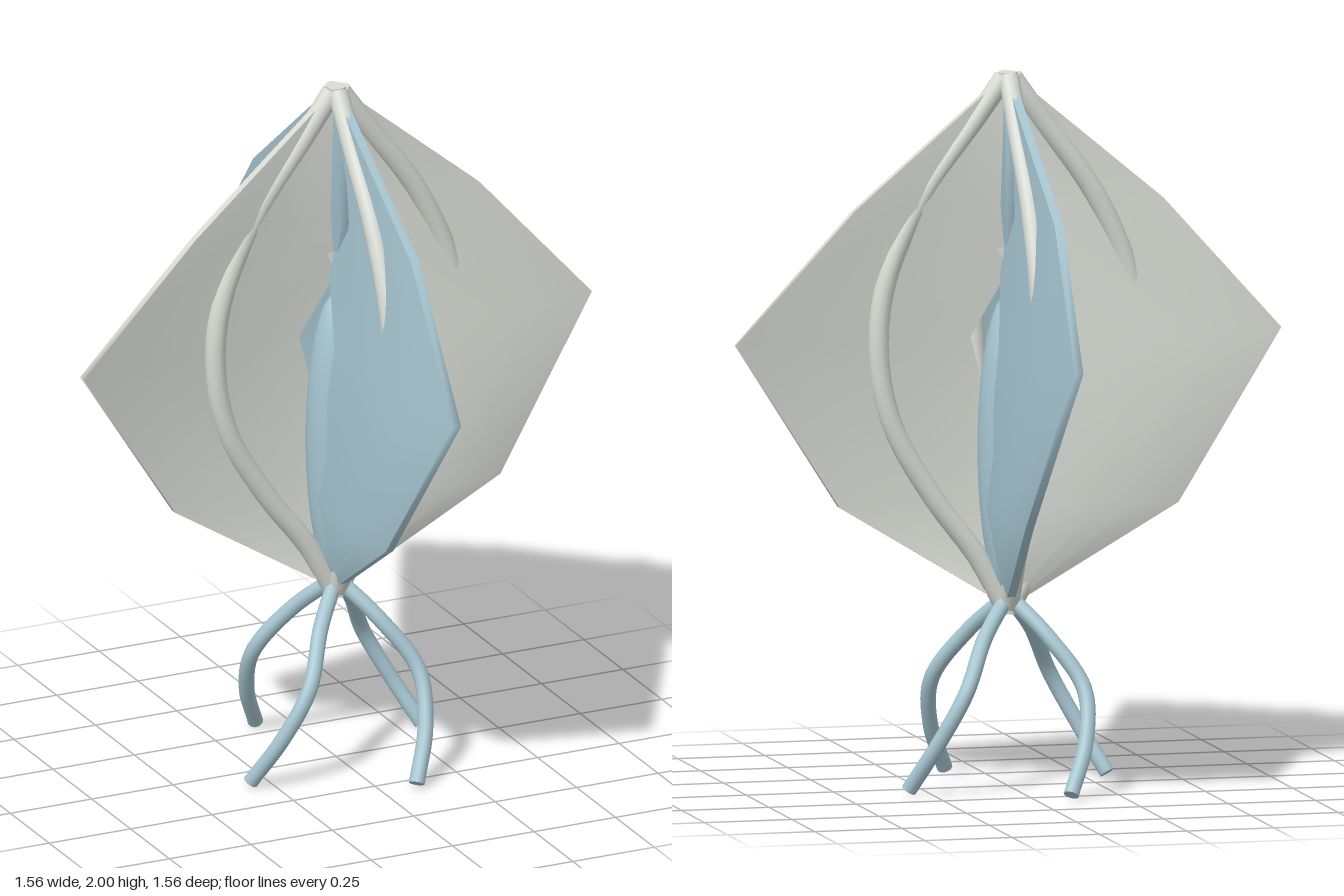
import * as THREE from 'three';

const V = (p) => new THREE.Vector3(...p);

// Thin twisted sail: a subdivided box whose rows follow a kite outline.
// Rows run bottom to top: [height, inner radius, outer radius, inner, middle and outer sideways shift]
const ROWS = [
  [0.515, -0.01, 0.02, 0, 0, 0],
  [0.79, -0.02, 0.47, 0.05, 0.078, 0.06],
  [1.26, 0.1, 0.78, 0.04, 0.035, 0],
  [1.63, -0.1, 0.45, -0.02, -0.012, -0.028],
  [1.99, -0.01, 0.015, 0, 0, 0],
];

function sailGeometry() {
  const g = new THREE.BoxGeometry(1, 1, 0.024, 4, 4, 1);
  const pos = g.attributes.position;
  for (let i = 0; i < pos.count; i++) {
    const u = pos.getX(i) + 0.5;
    const [y, inner, outer, a, m, b] = ROWS[Math.round((pos.getY(i) + 0.5) * 4)];
    // quadratic bend through the three sideways shifts
    const shift = a * (1 - u) * (1 - 2 * u) + m * 4 * u * (1 - u) + b * u * (2 * u - 1);
    pos.setXYZ(i, inner + (outer - inner) * u, y, pos.getZ(i) + shift);
  }
  g.computeVertexNormals();
  return g;
}

// Tube with closed ends
function rod(points, radius, material, name) {
  const group = new THREE.Group();
  group.name = name;
  const curve = new THREE.CatmullRomCurve3(points.map(V));
  const tube = new THREE.Mesh(new THREE.TubeGeometry(curve, 32, radius, 12), material);
  tube.name = name + 'Tube';
  group.add(tube);
  for (const t of [0, 1]) {
    const cap = new THREE.Mesh(new THREE.CircleGeometry(radius, 12), material);
    cap.name = name + 'End';
    cap.position.copy(curve.getPoint(t));
    const dir = curve.getTangent(t).multiplyScalar(t ? 1 : -1);
    cap.quaternion.setFromUnitVectors(new THREE.Vector3(0, 0, 1), dir);
    group.add(cap);
  }
  return group;
}

export function createModel() {
  const model = new THREE.Group();
  model.name = 'budLantern';
  const pale = new THREE.MeshStandardMaterial({ color: 0xd9dcd5 });
  pale.name = 'paleGrey';
  const blue = new THREE.MeshStandardMaterial({ color: 0xa6c5d0 });
  blue.name = 'softBlue';

  const sailShape = sailGeometry();
  for (let i = 0; i < 4; i++) {
    const quarter = new THREE.Group();
    quarter.name = 'quarter' + (i + 1);
    quarter.rotation.y = (i * Math.PI) / 2;

    // sails alternate in colour
    const sail = new THREE.Mesh(sailShape, i % 2 ? blue : pale);
    sail.name = 'sail';
    quarter.add(sail);

    // curved rib along the sail
    quarter.add(rod([
      [0.012, 1.985, 0], [0.1, 1.86, 0], [0.25, 1.65, 0], [0.35, 1.42, 0],
      [0.37, 1.22, 0], [0.33, 1.02, 0], [0.21, 0.81, 0], [0.09, 0.65, 0], [0.012, 0.51, 0],
    ], 0.029, pale, 'rib'));

    // curling root
    quarter.add(rod([
      [0.005, 0.53, -0.005], [0.09, 0.43, -0.09], [0.165, 0.29, -0.175],
      [0.24, 0.15, -0.16], [0.31, 0.015, -0.1],
    ], 0.022, blue, 'root'));
    model.add(quarter);
  }

  // seed at the heart
  const seed = new THREE.Mesh(new THREE.SphereGeometry(1, 24, 16), blue);
  seed.name = 'seed';
  seed.scale.set(0.085, 0.43, 0.085);
  seed.position.y = 0.95;
  model.add(seed);

  // small collars where the ribs meet
  for (const [name, y] of [['topCollar', 1.98], ['bottomCollar', 0.505]]) {
    const collar = new THREE.Mesh(new THREE.CylinderGeometry(0.028, 0.028, 0.04, 12), pale);
    collar.name = name;
    collar.position.y = y;
    model.add(collar);
  }
  return model;
}
